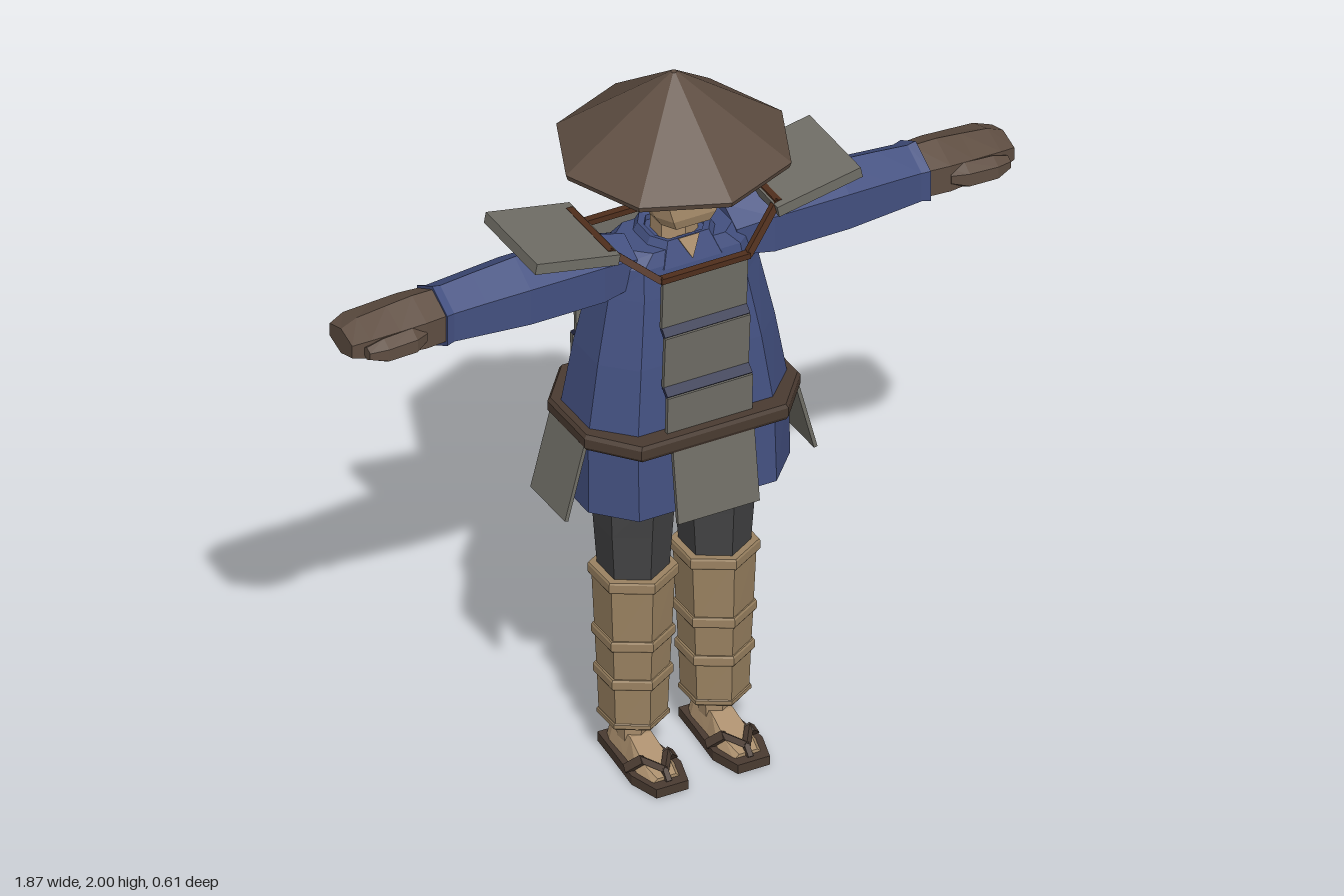
import * as THREE from 'three';

const mat = (name, color) => Object.assign(new THREE.MeshStandardMaterial({ color }), { name });
const V = (x, y, z) => new THREE.Vector3(x, y, z);

// Faceted solid through a list of equal-length loops, always facing outward
function loft(loops, capStart = true, capEnd = true) {
  const tris = [], n = loops[0].length;
  const mid = l => l.reduce((a, p) => a.add(p), V(0, 0, 0)).divideScalar(n);
  for (let i = 0; i + 1 < loops.length; i++)
    for (let k = 0; k < n; k++) {
      const j = (k + 1) % n, a = loops[i], b = loops[i + 1];
      tris.push([a[k], a[j], b[j]], [a[k], b[j], b[k]]);
    }
  const cap = (l, flip) => {
    const c = mid(l);
    l.forEach((p, k) => tris.push(flip ? [c, l[(k + 1) % n], p] : [c, p, l[(k + 1) % n]]));
  };
  if (capStart) cap(loops[0], true);
  if (capEnd) cap(loops[loops.length - 1], false);
  const o = mid(loops[0]);
  let vol = 0;
  for (const [a, b, c] of tris)
    vol += a.clone().sub(o).dot(b.clone().sub(o).cross(c.clone().sub(o)));
  const pos = [];
  for (const [a, b, c] of tris)
    for (const p of vol < 0 ? [a, c, b] : [a, b, c]) pos.push(p.x, p.y, p.z);
  const g = new THREE.BufferGeometry();
  g.setAttribute('position', new THREE.Float32BufferAttribute(pos, 3));
  g.computeVertexNormals();
  return g;
}

// Horizontal regular ring with a corner at the front
const ring = (n, y, r, cx = 0, rz = r) => Array.from({ length: n }, (_, k) => {
  const t = k / n * Math.PI * 2;
  return V(cx + Math.sin(t) * r, y, Math.cos(t) * rz);
});
// Horizontal rectangle with cut corners
const oct = (y, w, d, cz = 0, fx = 0.68, fz = 0.45) =>
  [[fx, 1], [1, fz], [1, -fz], [fx, -1], [-fx, -1], [-1, -fz], [-1, fz], [-fx, 1]]
    .map(([x, z]) => V(x * w, y, cz + z * d));
// Upright hexagon across the arm, corners at top and bottom
const hexX = (x, y, ry, rz, cz = 0) => Array.from({ length: 6 }, (_, k) =>
  V(x, y + Math.cos(k * Math.PI / 3) * ry, cz + Math.sin(k * Math.PI / 3) * rz));

export function createModel() {
  const root = new THREE.Group();
  root.name = 'strawHatWarrior';
  const blue = mat('blueCloth', 0x435080);
  blue.side = THREE.DoubleSide;
  const hatBrown = mat('hatBrown', 0x5f4e42), grey = mat('plateGrey', 0x706e66);
  const pants = mat('charcoalCloth', 0x434344), tan = mat('tanWrap', 0x9a8261);
  const skin = mat('skin', 0xab8f6d), hair = mat('hairBrown', 0x4f2e1c);
  const dark = mat('darkLeather', 0x4a3b31), navy = mat('navyLacing', 0x2b2f4c);

  const add = (name, geo, m, parent = root) => {
    const mesh = new THREE.Mesh(geo, m);
    mesh.name = name;
    parent.add(mesh);
    return mesh;
  };
  const box = (name, m, w, h, d, x, y, z) => {
    const b = add(name, new THREE.BoxGeometry(w, h, d), m);
    b.position.set(x, y, z);
    return b;
  };
  // Flat strip running between two points
  const bar = (name, m, a, b, w, d) => {
    const dir = b.clone().sub(a);
    const s = add(name, new THREE.BoxGeometry(w, dir.length(), d), m);
    s.position.copy(a).add(b).multiplyScalar(0.5);
    s.quaternion.setFromUnitVectors(V(0, 1, 0), dir.normalize());
    return s;
  };

  // Hat: hollow eight-sided cone
  add('hat', loft([ring(8, 1.93, 0.01), ring(8, 1.775, 0.28), ring(8, 1.77, 0.3),
    ring(8, 1.785, 0.305), ring(8, 2, 0.008)]), hatBrown);

  // Head, neck and face
  add('head', loft([oct(1.6, 0.07, 0.07, 0.03), oct(1.63, 0.088, 0.084, 0.026),
    oct(1.69, 0.113, 0.088, 0.022), oct(1.83, 0.115, 0.088, 0.022)]), skin);
  add('neck', loft([ring(6, 1.47, 0.06), ring(6, 1.62, 0.06)]), skin);
  add('nose', loft([[V(-0.03, 1.722, 0.1), V(0.03, 1.722, 0.1), V(0, 1.728, 0.15)],
    [V(-0.008, 1.775, 0.1), V(0.008, 1.775, 0.1), V(0, 1.775, 0.117)]]), skin);
  box('mouth', hair, 0.08, 0.012, 0.006, 0, 1.685, 0.111);
  box('hairBack', hair, 0.25, 0.13, 0.075, 0, 1.765, -0.065);
  box('hairNape', hair, 0.2, 0.08, 0.055, 0, 1.665, -0.07);
  for (const s of [1, -1]) {
    box('sideHair', hair, 0.02, 0.13, 0.05, s * 0.115, 1.765, -0.01);
    box('sideburn', hair, 0.016, 0.07, 0.03, s * 0.112, 1.7, -0.02);
    box('ear', skin, 0.018, 0.05, 0.03, s * 0.122, 1.725, 0.01);
    box('eye', hair, 0.04, 0.014, 0.006, s * 0.052, 1.783, 0.111);
  }

  // Robe, open at the hem, with a standing collar
  add('robe', loft([oct(0.82, 0.285, 0.178), oct(1.04, 0.283, 0.168), oct(1.24, 0.25, 0.143),
    oct(1.42, 0.212, 0.112), oct(1.5, 0.2, 0.095), oct(1.535, 0.15, 0.08)], false, true), blue);
  add('collar', loft([oct(1.49, 0.12, 0.1), oct(1.555, 0.085, 0.075), oct(1.55, 0.07, 0.06),
    oct(1.5, 0.07, 0.06)], false, false), blue);
  add('openNeck', loft([[V(0, 1.5, 0.1), V(-0.03, 1.556, 0.079), V(0.03, 1.556, 0.079)],
    [V(0, 1.5, 0.095), V(-0.03, 1.55, 0.07), V(0.03, 1.55, 0.07)]]), skin);
  add('belt', loft([oct(1.02, 0.298, 0.21), oct(1.03, 0.305, 0.215), oct(1.055, 0.305, 0.215),
    oct(1.065, 0.298, 0.21)]), dark);

  // Chest and back plates: three stepped sheets joined by lacing
  const steps = [[1.505, 0.16], [1.36, 0.153], [1.34, 0.172], [1.19, 0.163], [1.17, 0.185], [1.04, 0.18]];
  for (const [label, f, w] of [['chest', 1, 0.24], ['back', -1, 0.38]]) {
    for (let i = 0; i < 5; i++) {
      const [y0, z0] = steps[i], [y1, z1] = steps[i + 1], lace = i % 2 === 1;
      bar(label + (lace ? 'Lacing' : 'Plate'), lace ? navy : grey,
        V(0, y1, f * z1), V(0, y0, f * z0), w, 0.012);
    }
    box(label + 'Trim', hair, w + 0.01, 0.016, 0.02, 0, 1.508, f * 0.16);
    bar(label + 'SkirtPlate', grey, V(0, 0.82, f * 0.23), V(0, 1.04, f * 0.2), w - 0.01, 0.012);
  }

  for (const s of [1, -1]) {
    // Shoulder guard and its straps
    const guard = box('shoulderGuard', grey, 0.24, 0.03, 0.268, s * 0.342, 1.607, -0.003);
    guard.rotation.z = s * 0.19;
    bar('frontStrap', hair, V(s * 0.122, 1.505, 0.158), V(s * 0.238, 1.598, 0.1), 0.018, 0.018);
    bar('backStrap', hair, V(s * 0.19, 1.505, -0.158), V(s * 0.238, 1.598, -0.1), 0.018, 0.018);
    box('shoulderStrap', hair, 0.018, 0.016, 0.22, s * 0.236, 1.597, 0);
    bar('sideSkirtPlate', grey, V(s * 0.352, 0.82, 0), V(s * 0.295, 1.04, 0), 0.01, 0.18);

    // Sleeve
    add('sleeve', loft([hexX(s * 0.14, 1.485, 0.075, 0.08), hexX(s * 0.24, 1.487, 0.102, 0.098),
      hexX(s * 0.45, 1.487, 0.102, 0.098), hexX(s * 0.57, 1.487, 0.092, 0.09),
      hexX(s * 0.66, 1.487, 0.083, 0.085), hexX(s * 0.683, 1.487, 0.088, 0.092)]), blue);

    // Gloved hand with thumb
    add('hand', loft([hexX(s * 0.67, 1.49, 0.075, 0.083), hexX(s * 0.74, 1.49, 0.075, 0.09),
      hexX(s * 0.81, 1.488, 0.066, 0.088, -0.005), hexX(s * 0.89, 1.488, 0.053, 0.085, -0.01),
      hexX(s * 0.935, 1.486, 0.036, 0.068, -0.01)]), hatBrown);
    add('thumb', loft([hexX(s * 0.74, 1.488, 0.022, 0.025, 0.06), hexX(s * 0.78, 1.488, 0.036, 0.034, 0.075),
      hexX(s * 0.86, 1.485, 0.034, 0.034, 0.075), hexX(s * 0.905, 1.485, 0.018, 0.02, 0.07)]), hatBrown);

    // Leg, shin wrap and its bands
    const cx = s * 0.115;
    add('trouserLeg', loft([ring(6, 0.54, 0.088, cx, 0.09), ring(6, 0.7, 0.1, cx, 0.1),
      ring(6, 0.82, 0.107, cx, 0.11), ring(6, 0.98, 0.107, cx, 0.11)]), pants);
    add('shinWrap', loft([ring(6, 0.12, 0.085, cx, 0.088), ring(6, 0.25, 0.09, cx, 0.092),
      ring(6, 0.37, 0.096, cx, 0.098), ring(6, 0.56, 0.105, cx, 0.104)]), tan);
    for (const [y, h, r] of [[0.555, 0.032, 0.114], [0.375, 0.03, 0.105], [0.258, 0.03, 0.1], [0.13, 0.016, 0.091]])
      add('wrapBand', loft([ring(6, y - h / 2, r - 0.003, cx), ring(6, y - h / 3, r, cx),
        ring(6, y + h / 3, r, cx), ring(6, y + h / 2, r - 0.003, cx)]), tan);

    // Foot
    add('ankle', loft([ring(6, 0.05, 0.04, cx), ring(6, 0.14, 0.045, cx)]), skin);
    const slice = (z, w, h) => [V(cx - w, 0.022, z), V(cx + w, 0.022, z), V(cx + w * 0.65, h, z), V(cx - w * 0.65, h, z)];
    add('foot', loft([slice(-0.08, 0.032, 0.06), slice(-0.05, 0.042, 0.08), slice(0.04, 0.046, 0.08),
      slice(0.12, 0.054, 0.05), slice(0.175, 0.04, 0.035)]), skin);

    // Sandal sole and thong
    const sole = y => [[-0.05, -0.095], [0.05, -0.095], [0.058, 0], [0.07, 0.12], [0.045, 0.205],
      [-0.045, 0.205], [-0.07, 0.12], [-0.058, 0]].map(([x, z]) => V(cx + x, y, z));
    add('sandalSole', loft([sole(0), sole(0.026)]), dark);
    for (const k of [1, -1]) {
      bar('sandalStrap', dark, V(cx + k * 0.066, 0.025, 0.085), V(cx + k * 0.035, 0.06, 0.115), 0.016, 0.024);
      bar('sandalThong', dark, V(cx + k * 0.037, 0.058, 0.11), V(cx, 0.05, 0.165), 0.016, 0.016);
    }
    bar('toePost', dark, V(cx, 0.025, 0.185), V(cx, 0.052, 0.16), 0.014, 0.014);
  }
  return root;
}
